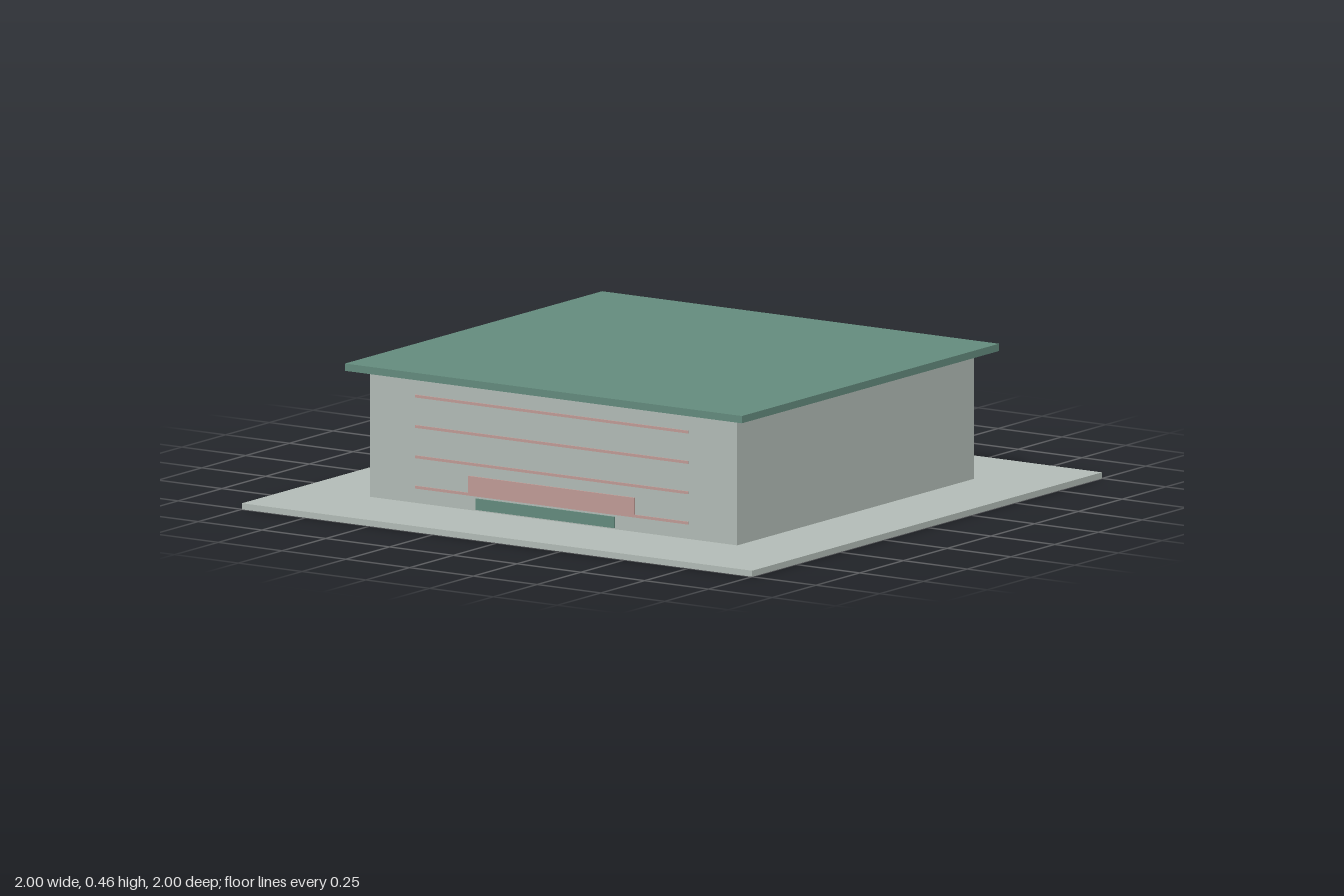
import * as THREE from 'three';

export function createModel() {
  const model = new THREE.Group();
  model.name = 'building';

  const material = (name, color) => {
    const m = new THREE.MeshStandardMaterial({ color });
    m.name = name;
    return m;
  };
  const stone = material('pale grey stone', 0xb5beb9);
  const green = material('muted green', 0x658d7f);
  const pink = material('dusty pink', 0xc39e99);

  // Box given by its size, its lower edge and the z of its centre
  const box = (name, mat, width, height, depth, bottom, z = 0) => {
    const mesh = new THREE.Mesh(new THREE.BoxGeometry(width, height, depth), mat);
    mesh.name = name;
    mesh.position.set(0, bottom + height / 2, z);
    model.add(mesh);
  };

  // Ground slab, main block and overhanging flat roof
  box('groundSlab', stone, 2, 0.02, 2, 0);
  box('walls', stone, 1.44, 0.418, 1.354, 0.02);
  box('roof', green, 1.556, 0.024, 1.47, 0.438);

  // Thin horizontal bands standing just off the front wall
  for (let i = 0; i < 4; i++) {
    box('facadeBand' + (i + 1), pink, 1.07, 0.009, 0.004, 0.07 + i * 0.1, 0.688);
  }

  // Entrance panel with a lower plate in front of it
  box('entrancePanel', pink, 0.65, 0.064, 0.005, 0.071, 0.689);
  box('entrancePlate', green, 0.544, 0.037, 0.005, 0.035, 0.725);

  return model;
}
